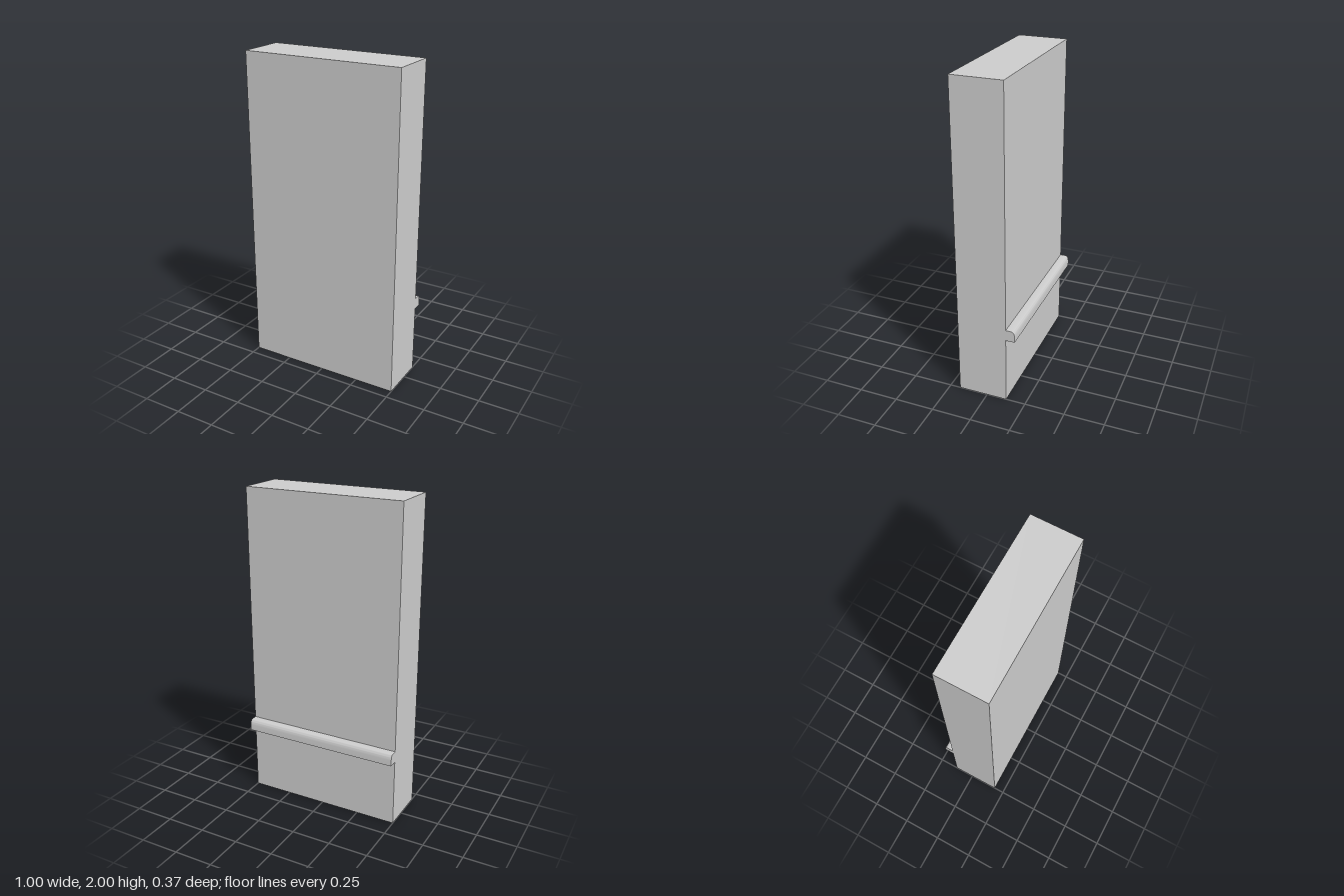
import * as THREE from 'three';
import { toCreasedNormals } from 'three/addons/utils/BufferGeometryUtils.js';

const WIDTH = 1, HEIGHT = 2;
const FRONT = 0.184, BACK = -0.127;

export function createModel() {
  const group = new THREE.Group();
  group.name = 'wallWithRail';
  const material = new THREE.MeshStandardMaterial({ color: 0xcccccc });

  // Wall slab
  const wall = new THREE.Mesh(new THREE.BoxGeometry(WIDTH, HEIGHT, FRONT - BACK), material);
  wall.name = 'wall';
  wall.position.set(0, HEIGHT / 2, (FRONT + BACK) / 2);
  group.add(wall);

  // Moulded rail across the back: profile as (distance behind centre, height)
  const profile = new THREE.Shape();
  profile.moveTo(-BACK, 0.433);
  profile.lineTo(0.184, 0.433);
  profile.lineTo(0.184, 0.462);
  profile.bezierCurveTo(0.183, 0.485, 0.178, 0.503, 0.162, 0.504);
  profile.lineTo(-BACK, 0.504);
  profile.closePath();

  const railGeometry = new THREE.ExtrudeGeometry(profile, {
    depth: WIDTH, bevelEnabled: false, curveSegments: 10,
  });
  railGeometry.translate(0, 0, -WIDTH / 2);
  railGeometry.rotateY(Math.PI / 2);
  const rail = new THREE.Mesh(toCreasedNormals(railGeometry, Math.PI / 5), material);
  rail.name = 'rail';
  group.add(rail);

  return group;
}
